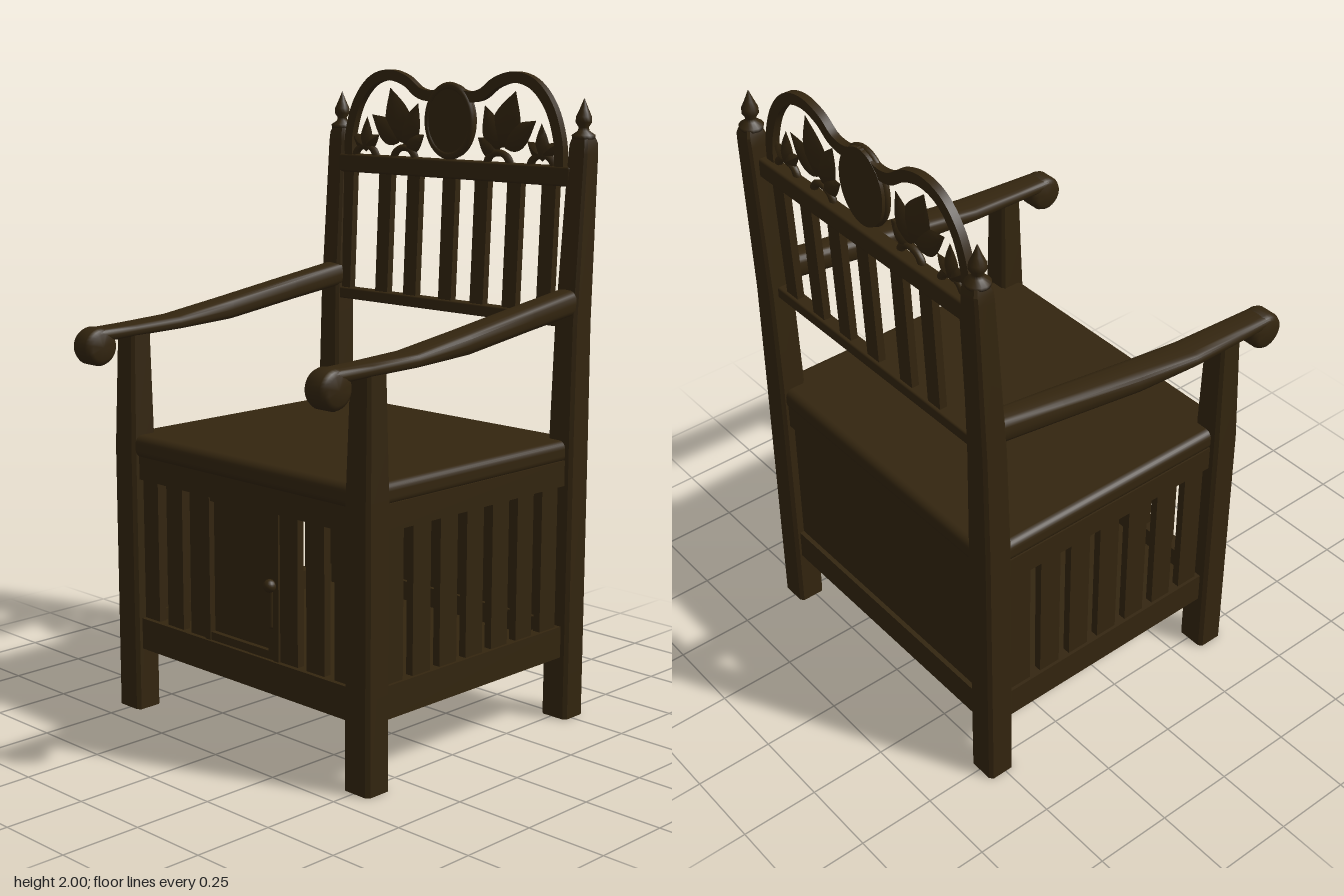
import * as THREE from 'three';
import { toCreasedNormals } from 'three/addons/utils/BufferGeometryUtils.js';
import { RoundedBoxGeometry } from 'three/addons/geometries/RoundedBoxGeometry.js';

export function createModel() {
  const model = new THREE.Group();
  const wood = new THREE.MeshStandardMaterial({ color: 0x33250f });
  wood.name = 'dark wood';

  const add = (name, geo, x = 0, y = 0, z = 0, parent = model) => {
    const m = new THREE.Mesh(geo, wood);
    m.name = name;
    m.position.set(x, y, z);
    parent.add(m);
    return m;
  };
  // Box given by its limits on each axis
  const box = (name, x0, x1, y0, y1, z0, z1, r = 0) => add(name,
    r ? new RoundedBoxGeometry(x1 - x0, y1 - y0, z1 - z0, 3, r) : new THREE.BoxGeometry(x1 - x0, y1 - y0, z1 - z0),
    (x0 + x1) / 2, (y0 + y1) / 2, (z0 + z1) / 2);

  // Skin over rings: sections are [centre, half width along u, half width along v]; path runs along u x v
  function loft(sections, ring, u, v, crease) {
    const pos = [], idx = [], n = ring.length;
    for (const [c, a, b] of sections) for (const [p, q] of ring)
      pos.push(...[0, 1, 2].map(k => c[k] + u[k] * a * p + v[k] * b * q));
    for (let s = 0; s < sections.length - 1; s++) for (let i = 0; i < n; i++) {
      const a = s * n + i, b = s * n + (i + 1) % n;
      idx.push(a, b, b + n, a, b + n, a + n);
    }
    const last = (sections.length - 1) * n;
    for (let i = 1; i < n - 1; i++) idx.push(0, i + 1, i, last, last + i, last + i + 1);
    const g = new THREE.BufferGeometry();
    g.setAttribute('position', new THREE.Float32BufferAttribute(pos, 3));
    g.setIndex(idx);
    return toCreasedNormals(g, crease);
  }
  const X = [1, 0, 0], Y = [0, 1, 0], Z = [0, 0, 1];
  const c = 0.78;
  const chamfered = [[1, -c], [1, c], [c, 1], [-c, 1], [-1, c], [-1, -c], [-c, -1], [c, -1]];
  const softOval = Array.from({ length: 20 }, (_, i) => {
    const t = i / 20 * Math.PI * 2, f = s => Math.sign(s) * Math.abs(s) ** 0.6;
    return [f(Math.cos(t)), f(Math.sin(t))];
  });

  const finialProfile = [[0, 0], [0.034, 0], [0.036, 0.012], [0.018, 0.024], [0.015, 0.034], [0.025, 0.05],
    [0.024, 0.066], [0.014, 0.088], [0.007, 0.105], [0, 0.122]].map(p => new THREE.Vector2(...p));
  const scrollProfile = [[0, -0.043], [0.04, -0.043], [0.052, -0.037], [0.058, -0.025], [0.058, 0.025],
    [0.052, 0.037], [0.04, 0.043], [0, 0.043]].map(p => new THREE.Vector2(...p));

  for (const s of [1, -1]) {
    const side = s > 0 ? 'left' : 'right';
    // Posts
    add(side + 'FrontPost', loft([
      [[s * 0.507, 0, 0.375], 0.046, 0.05], [[s * 0.507, 0.85, 0.375], 0.046, 0.049],
      [[s * 0.506, 1.215, 0.372], 0.037, 0.04]], chamfered, Z, X, 0.4));
    add(side + 'BackPost', loft([
      [[s * 0.507, 0, -0.512], 0.045, 0.049], [[s * 0.507, 0.9, -0.514], 0.045, 0.047],
      [[s * 0.508, 1.25, -0.52], 0.042, 0.042], [[s * 0.511, 1.76, -0.547], 0.033, 0.036],
      [[s * 0.511, 1.79, -0.549], 0.032, 0.034], [[s * 0.511, 1.812, -0.549], 0.024, 0.026]], chamfered, Z, X, 0.4));
    add(side + 'Finial', new THREE.LatheGeometry(finialProfile, 16), s * 0.511, 1.803, -0.546);
    // Arm rest with rolled front end
    add(side + 'Arm', loft([
      [[s * 0.503, 1.315, -0.5], 0.042, 0.04], [[s * 0.504, 1.285, -0.28], 0.047, 0.037],
      [[s * 0.506, 1.245, 0], 0.051, 0.034], [[s * 0.507, 1.224, 0.22], 0.053, 0.022],
      [[s * 0.506, 1.218, 0.4], 0.048, 0.02], [[s * 0.505, 1.213, 0.53], 0.042, 0.022]], softOval, X, Y, 0.8));
    const scroll = add(side + 'ArmScroll', toCreasedNormals(new THREE.LatheGeometry(scrollProfile, 28), 0.7),
      s * 0.505, 1.179, 0.525);
    scroll.rotation.z = Math.PI / 2;
    // Side rails and slats
    const span = (name, a, b, ...rest) => box(name, Math.min(s * a, s * b), Math.max(s * a, s * b), ...rest);
    span(side + 'LowerRail', 0.485, 0.53, 0.2, 0.3, -0.49, 0.36);
    span(side + 'UpperRail', 0.485, 0.53, 0.75, 0.83, -0.49, 0.36);
    for (let i = 0; i < 7; i++) {
      const z = 0.278 - i * 0.115;
      span(side + 'SideSlat', 0.495, 0.52, 0.29, 0.76, z - 0.037, z + 0.037);
    }
    // Front slats beside the door
    for (const x of [0.425, 0.31, 0.2])
      span('frontSlat', x - 0.037, x + 0.037, 0.29, 0.76, 0.36, 0.385);
    span('doorStile', 0.14, 0.163, 0.29, 0.76, 0.36, 0.392);
  }

  // Box of the seat
  box('seat', -0.53, 0.53, 0.82, 0.89, -0.545, 0.412, 0.025);
  box('frontUpperRail', -0.48, 0.48, 0.75, 0.83, 0.35, 0.4);
  box('frontLowerRail', -0.48, 0.48, 0.2, 0.3, 0.35, 0.4);
  box('backPanel', -0.48, 0.48, 0.28, 0.77, -0.525, -0.505);
  box('backUpperRail', -0.48, 0.48, 0.75, 0.83, -0.54, -0.49);
  box('backLowerRail', -0.48, 0.48, 0.2, 0.3, -0.54, -0.49);
  box('floorPanel', -0.5, 0.5, 0.215, 0.235, -0.51, 0.37);

  // Door and handle
  box('door', -0.14, 0.14, 0.3, 0.75, 0.355, 0.372);
  box('doorTopFrame', -0.14, 0.14, 0.735, 0.755, 0.36, 0.388);
  box('doorBottomFrame', -0.14, 0.14, 0.295, 0.325, 0.36, 0.388);
  box('doorSideFrame', 0.115, 0.142, 0.3, 0.75, 0.36, 0.388);
  add('handle', new THREE.SphereGeometry(0.02, 16, 12), 0.135, 0.53, 0.4);
  add('handleStem', new THREE.CapsuleGeometry(0.009, 0.13, 4, 10), 0.132, 0.47, 0.39);

  // Backrest, leaning with the posts
  box('backrestLowerRail', -0.48, 0.48, 1.235, 1.272, -0.535, -0.49, 0.006);
  box('backrestUpperRail', -0.49, 0.49, 1.66, 1.72, -0.555, -0.507, 0.008);
  for (const x of [-0.455, -0.282, -0.155, 0, 0.135, 0.268, 0.405]) {
    const slat = add('backrestSlat', new THREE.BoxGeometry(0.055, 0.42, 0.024), x, 1.466, -0.521);
    slat.rotation.x = -0.045;
  }

  // Carved crest
  const crest = new THREE.Group();
  crest.name = 'crest';
  crest.position.z = -0.522;
  model.add(crest);
  const plate = (pts, depth) => {
    const sh = new THREE.Shape(pts.map(p => new THREE.Vector2(...p)));
    const g = new THREE.ExtrudeGeometry(sh, { depth, bevelEnabled: false });
    return g.translate(0, 0, -depth / 2);
  };
  // Leaf: domed pointed blade with its base at the origin, tip up
  const leaf = (w, h) => loft(Array.from({ length: 11 }, (_, i) => {
    const t = i / 10, k = Math.max(Math.sin(Math.PI * t ** 0.72), 0.02);
    return [[0, h * t, 0], 0.016 * k, w / 2 * k];
  }), [[1, 0], [0.55, 0.65], [0, 1], [-0.55, 0.65], [-1, 0], [-0.55, -0.65], [0, -1], [0.55, -0.65]], Z, X, 0.8);

  for (const s of [1, -1]) {
    const half = new THREE.Group();
    half.name = s > 0 ? 'leftCarving' : 'rightCarving';
    crest.add(half);
    // Arched band as a flat strip following a curve
    const curve = new THREE.CatmullRomCurve3([[0.447, 1.71], [0.443, 1.79], [0.405, 1.895], [0.34, 1.963], [0.265, 1.983],
      [0.19, 1.965], [0.13, 1.927], [0.07, 1.92], [0, 1.945]].map(([x, y]) => new THREE.Vector3(s * x, y, 0)));
    const outer = [], inner = [];
    for (let i = 0; i <= 40; i++) {
      const p = curve.getPointAt(i / 40), t = curve.getTangentAt(i / 40);
      outer.push([p.x - t.y * 0.017, p.y + t.x * 0.017]);
      inner.unshift([p.x + t.y * 0.017, p.y - t.x * 0.017]);
    }
    add('archBand', toCreasedNormals(plate([...outer, ...inner], 0.024), 0.5), 0, 0, 0, half);
    // Leaves: base x, base y, width, height, tilt
    for (const [x, y, w, h, tilt] of [
      [0.205, 1.765, 0.115, 0.185, -0.33], [0.225, 1.765, 0.08, 0.15, -0.95],
      [0.2, 1.755, 0.085, 0.15, 0.4], [0.19, 1.745, 0.06, 0.09, 1.0],
      [0.375, 1.73, 0.055, 0.115, 0.05], [0.375, 1.745, 0.045, 0.075, 0.95], [0.375, 1.745, 0.045, 0.075, -0.95]]) {
      const m = add('leaf', leaf(w, h), s * x, y, 0, half);
      m.rotation.z = s * tilt;
    }
    // Curled stems along the rail
    for (const [x, r] of [[0.375, 0.035], [0.2, 0.035]]) {
      const stem = add('stem', new THREE.TorusGeometry(r, 0.011, 8, 20, Math.PI), s * x, 1.715, 0, half);
      stem.scale.x = 1.3;
    }
  }
  // Central medallion with a raised rim
  const disc = add('medallion', new THREE.CylinderGeometry(0.098, 0.098, 0.026, 40), 0, 1.842, 0, crest);
  disc.rotation.x = Math.PI / 2;
  disc.scale.z = 1.2;
  const rim = add('medallionRim', new THREE.TorusGeometry(0.093, 0.011, 10, 40), 0, 1.842, 0.006, crest);
  rim.scale.y = 1.18;

  return model;
}
